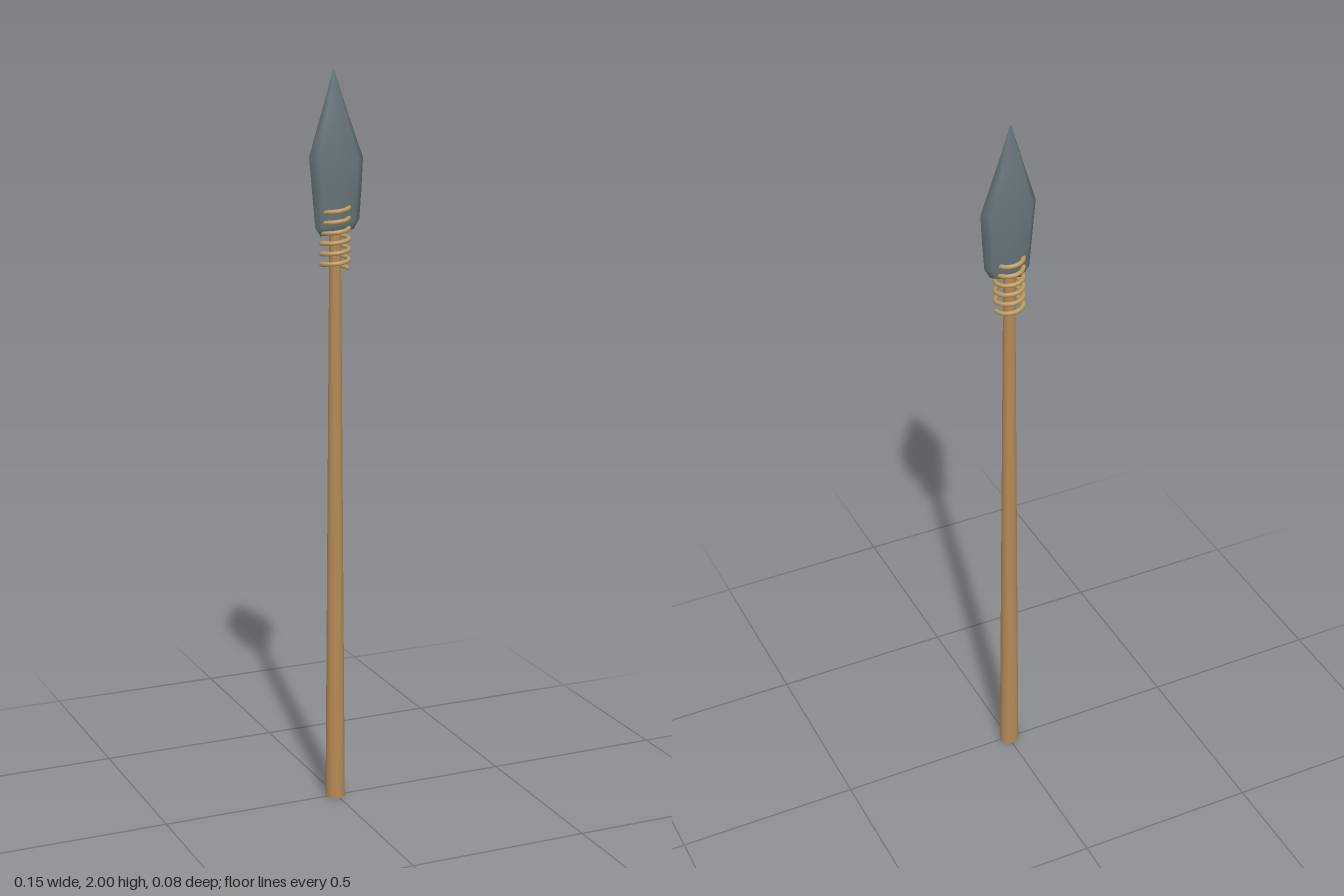
import * as THREE from 'three';

const CX = -0.003; // the shaft sits a hair off centre

function part(name, geometry, color, side = THREE.FrontSide) {
  const mesh = new THREE.Mesh(geometry, new THREE.MeshStandardMaterial({ color, side }));
  mesh.name = name;
  return mesh;
}

// Stone blade: eight-sided lens sections lofted from the base to the tip
function bladeGeometry() {
  // y, left edge x, right edge x, half thickness, slant of the section
  const rings = [
    [1.578, -0.044, 0.050, 0.014, 0.15],
    [1.602, -0.059, 0.066, 0.019, 0.15],
    [1.69, -0.068, 0.072, 0.024, 0],
    [1.775, -0.076, 0.076, 0.027, -0.05],
    [1.88, -0.045, 0.036, 0.018, 0],
    [2.0, -0.008, -0.006, 0.001, 0],
  ];
  // section corners: x from -1 to 1, z from -1 to 1
  const section = [[1, 0], [0.7, 0.72], [0, 1], [-0.7, 0.68], [-1, 0], [-0.75, -0.75], [0, -1], [0.72, -0.75]];
  const n = section.length;
  const pos = [], index = [];
  for (const [y, left, right, thick, slant] of rings) {
    for (const [u, v] of section) {
      const x = (left + right) / 2 + u * (right - left) / 2;
      pos.push(x, y + slant * x, v * thick);
    }
  }
  for (let r = 0; r < rings.length - 1; r++) {
    for (let i = 0; i < n; i++) {
      const a = r * n + i, b = r * n + (i + 1) % n;
      index.push(a, a + n, b, b, a + n, b + n);
    }
  }
  // base and tip caps
  const top = (rings.length - 1) * n;
  for (let i = 1; i < n - 1; i++) {
    index.push(0, i, i + 1, top, top + i + 1, top + i);
  }
  const g = new THREE.BufferGeometry();
  g.setAttribute('position', new THREE.Float32BufferAttribute(pos, 3));
  g.setIndex(index);
  g.computeVertexNormals();
  return g;
}

// Cord wound in an open helix around the joint
class Helix extends THREE.Curve {
  getPoint(t, target = new THREE.Vector3()) {
    const a = Math.PI / 2 + t * 6 * Math.PI * 2;
    return target.set(CX + 0.036 * Math.sin(a), 1.483 + t * 0.164, 0.036 * Math.cos(a));
  }
}

export function createModel() {
  const model = new THREE.Group();
  model.name = 'spear';

  // Tapered wooden shaft
  const height = 1.62;
  const shaft = part('shaft', new THREE.CylinderGeometry(0.015, 0.027, height, 12), 0xb48a56);
  shaft.position.set(CX, height / 2, 0);
  model.add(shaft);

  model.add(part('blade', bladeGeometry(), 0x66747a));

  // Binding cord with closed ends
  const binding = new THREE.Group();
  binding.name = 'binding';
  const path = new Helix();
  const cordColor = 0xbc9a60;
  binding.add(part('cord', new THREE.TubeGeometry(path, 144, 0.006, 8), cordColor));
  for (const t of [0, 1]) {
    const end = part('cordEnd', new THREE.SphereGeometry(0.006, 8, 6), cordColor);
    end.position.copy(path.getPoint(t));
    binding.add(end);
  }
  model.add(binding);

  return model;
}
